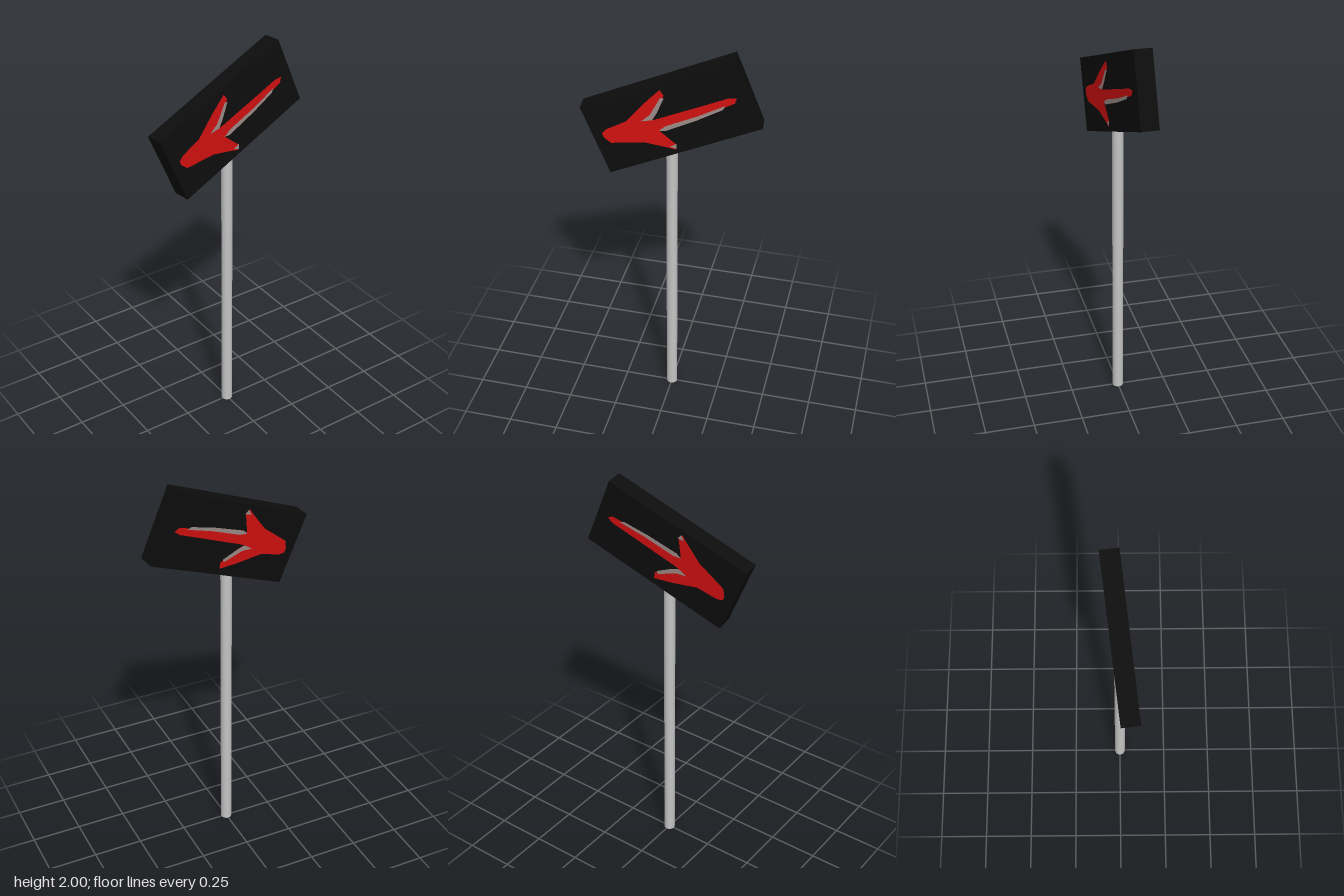
import * as THREE from 'three';

const LENGTH = 0.774, HEIGHT = 0.366, DEPTH = 0.09;

// Arrow outline and its worn grey edges, in the board's own plane
const ARROW = [
  [0.329, 0.003], [0.31, -0.02], [0.119, -0.037], [-0.0745, -0.047], [-0.026, -0.137],
  [-0.04, -0.161], [-0.075, -0.137], [-0.167, -0.08], [-0.32, -0.034], [-0.341, 0.002],
  [-0.341, 0.026], [-0.313, 0.04], [-0.205, 0.05], [-0.082, 0.114], [0.005, 0.152],
  [0.013, 0.12], [-0.053, 0.045], [-0.087, 0.018], [-0.05, 0.016], [0.015, 0.016],
  [0.185, 0.014], [0.29, 0.014],
];
const WORN = [
  [[-0.139, 0.029], [-0.087, 0.018], [-0.053, 0.045], [0.007, 0.105], [-0.006, 0.115], [-0.087, 0.047]],
  [[-0.078, -0.042], [-0.038, -0.03], [0.123, -0.028], [0.264, -0.017], [0.247, -0.033], [0.115, -0.047], [-0.05, -0.054]],
  [[-0.059, -0.138], [-0.024, -0.133], [-0.034, -0.158]],
];

function decal(points, material, z, name) {
  const shape = new THREE.Shape(points.map(([x, y]) => new THREE.Vector2(x, y)));
  const mesh = new THREE.Mesh(new THREE.ShapeGeometry(shape), material);
  mesh.position.z = z;
  mesh.name = name;
  return mesh;
}

export function createModel() {
  const black = new THREE.MeshStandardMaterial({ color: 0x0d0d0d });
  black.name = 'black board';
  const red = new THREE.MeshStandardMaterial({ color: 0xd01010 });
  red.name = 'red paint';
  const grey = new THREE.MeshStandardMaterial({ color: 0x9a8a86 });
  grey.name = 'worn grey';
  const metal = new THREE.MeshStandardMaterial({ color: 0xc4c4c4 });
  metal.name = 'pole metal';

  const model = new THREE.Group();
  model.name = 'arrowSign';

  // Pole, ending inside the board
  const pole = new THREE.Mesh(new THREE.CylinderGeometry(0.028, 0.028, 1.55, 16), metal);
  pole.position.y = 0.775;
  pole.name = 'pole';
  model.add(pole);

  // Board: turned about y, then tilted about z
  const sign = new THREE.Group();
  sign.name = 'sign';
  sign.position.y = 1.678;
  sign.rotation.set(0, THREE.MathUtils.degToRad(6.6), THREE.MathUtils.degToRad(22.4), 'ZYX');
  model.add(sign);

  const board = new THREE.Mesh(new THREE.BoxGeometry(LENGTH, HEIGHT, DEPTH), black);
  board.name = 'board';
  sign.add(board);

  // The same arrow on both faces, flipped about the board's long axis
  for (const [name, turn] of [['frontArrow', 0], ['backArrow', Math.PI]]) {
    const face = new THREE.Group();
    face.name = name;
    face.rotation.x = turn;
    face.add(decal(ARROW, red, DEPTH / 2 + 0.0015, 'arrow'));
    for (const patch of WORN) face.add(decal(patch, grey, DEPTH / 2 + 0.003, 'wornEdge'));
    sign.add(face);
  }

  return model;
}
